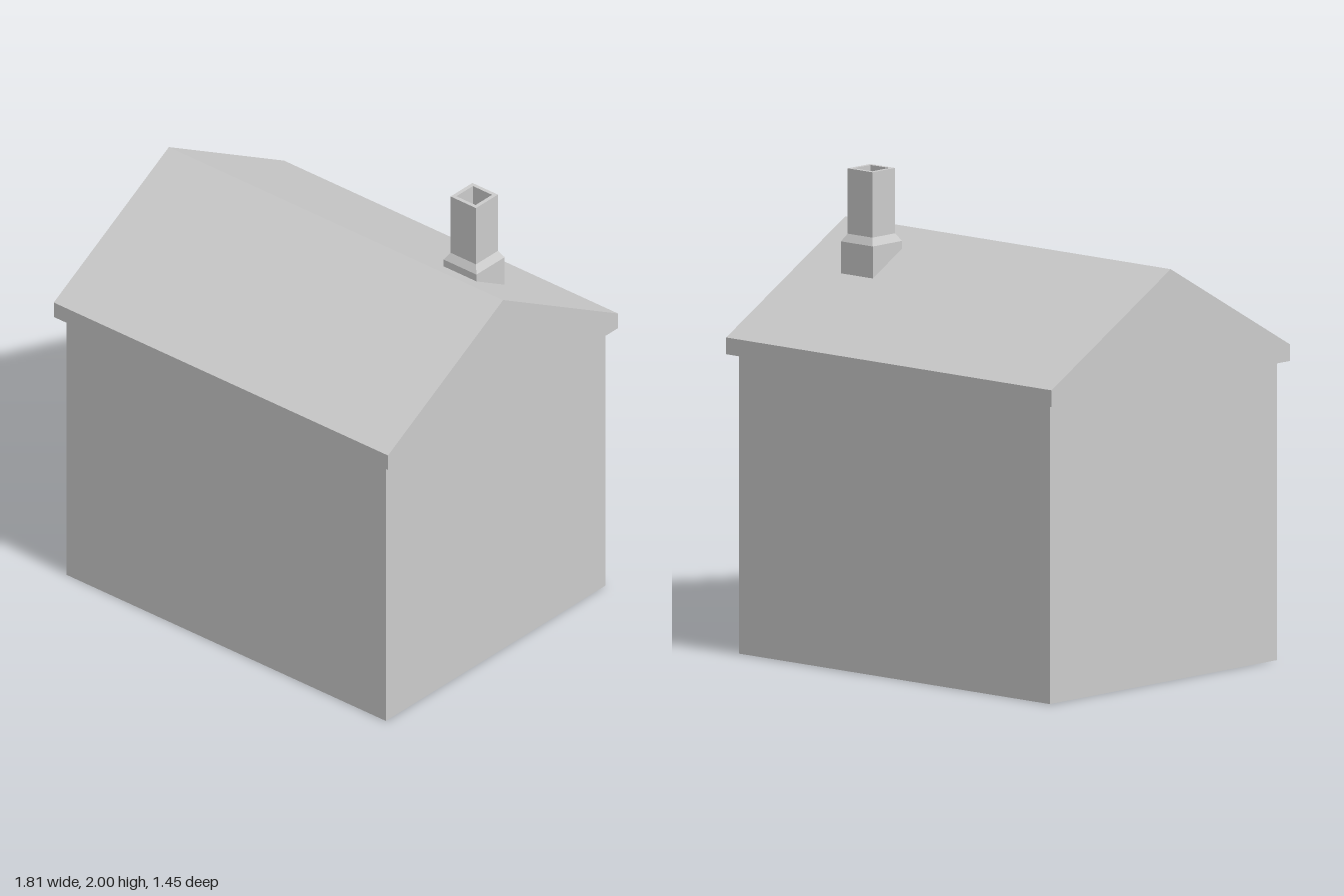
import * as THREE from 'three';

export function createModel() {
  const model = new THREE.Group();
  const material = new THREE.MeshStandardMaterial({ color: 0xcccccc, flatShading: true });
  const add = (name, geometry, x, y, z) => {
    const mesh = new THREE.Mesh(geometry, material);
    mesh.name = name;
    mesh.position.set(x, y, z);
    model.add(mesh);
  };

  // Plain block of walls
  const wallHeight = 1.25;
  add('walls', new THREE.BoxGeometry(1.734, wallHeight, 1.384), 0, wallHeight / 2, 0);

  // Gabled roof with an upright fascia, extruded along the ridge
  const roofLength = 1.814, eave = 0.725;
  const gable = new THREE.Shape([
    [-eave, 1.25], [eave, 1.25], [eave, 1.32], [0, 1.73], [-eave, 1.32],
  ].map(([x, y]) => new THREE.Vector2(x, y)));
  const roof = new THREE.ExtrudeGeometry(gable, { depth: roofLength, bevelEnabled: false });
  roof.translate(0, 0, -roofLength / 2).rotateY(Math.PI / 2);
  add('roof', roof, 0, 0, 0);

  // Square chimney: wide base, sloped shoulder, stack and hollow flue (half width, height)
  const profile = [
    [0, 1.5], [0.089, 1.5], [0.089, 1.695], [0.069, 1.727],
    [0.069, 2], [0.052, 2], [0.052, 1.8], [0, 1.8],
  ].map(([half, y]) => new THREE.Vector2(half * Math.SQRT2, y));
  add('chimney', new THREE.LatheGeometry(profile, 4, Math.PI / 4), 0.57, 0, -0.209);

  return model;
}
